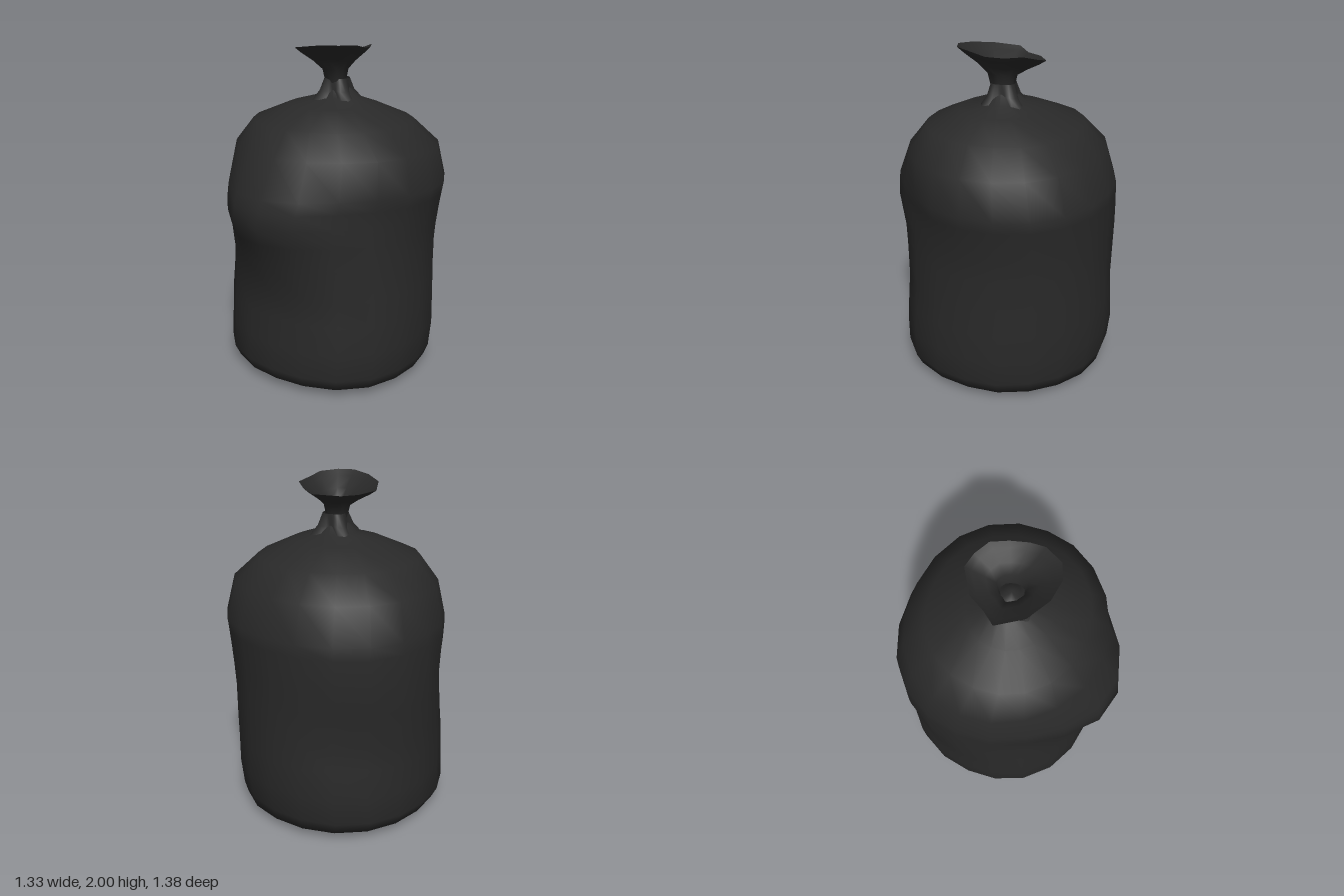
import * as THREE from 'three';

const SIDES = 20;

// Smooth skin over closed rings of points, listed bottom to top, with optional end points
function loft(rings, bottom, top) {
  const n = rings[0].length, index = [];
  const points = rings.flat();
  for (let i = 0; i < rings.length - 1; i++) {
    for (let j = 0; j < n; j++) {
      const a = i * n + j, b = i * n + (j + 1) % n;
      index.push(a, b, a + n, b, b + n, a + n);
    }
  }
  if (bottom) {
    const c = points.push(bottom) - 1;
    for (let j = 0; j < n; j++) index.push(c, (j + 1) % n, j);
  }
  if (top) {
    const c = points.push(top) - 1, s = (rings.length - 1) * n;
    for (let j = 0; j < n; j++) index.push(c, s + j, s + (j + 1) % n);
  }
  const geometry = new THREE.BufferGeometry().setFromPoints(points);
  geometry.setIndex(index);
  geometry.computeVertexNormals();
  return geometry;
}

// Ring of points; angle 0 faces the front, shape(angle) returns a point
function ring(count, shape) {
  return Array.from({ length: count }, (_, j) => shape(j / count * Math.PI * 2));
}

const bell = (d, width) => Math.exp(-((d / width) ** 2));
const angleGap = (a, b) => Math.atan2(Math.sin(a - b), Math.cos(a - b));

// Radius of a slightly squared unit circle
const fullness = (a) => (Math.abs(Math.sin(a)) ** 2.18 + Math.abs(Math.cos(a)) ** 2.18) ** (-1 / 2.18);

export function createModel() {
  const group = new THREE.Group();
  const plastic = new THREE.MeshStandardMaterial({ color: 0x292929 });
  plastic.name = 'black plastic';
  plastic.side = THREE.DoubleSide;

  const add = (name, geometry) => {
    const mesh = new THREE.Mesh(geometry, plastic);
    mesh.name = name;
    group.add(mesh);
  };

  // Filled bag: height, left/right limits, back/front limits, front bulge
  const rows = [
    [0.025, -0.38, 0.36, -0.42, 0.32, 0],
    [0.05, -0.62, 0.59, -0.65, 0.54, 0],
    [0.12, -0.655, 0.62, -0.67, 0.57, 0],
    [0.28, -0.655, 0.63, -0.69, 0.56, 0],
    [0.45, -0.655, 0.625, -0.685, 0.55, 0],
    [0.6, -0.655, 0.62, -0.68, 0.545, 0],
    [0.8, -0.665, 0.615, -0.675, 0.55, 0.05],
    [0.93, -0.665, 0.625, -0.675, 0.55, 0.1],
    [1.04, -0.665, 0.64, -0.675, 0.55, 0.15],
    [1.13, -0.66, 0.655, -0.675, 0.55, 0.135],
    [1.2, -0.655, 0.668, -0.675, 0.55, 0.115],
    [1.41, -0.605, 0.63, -0.61, 0.51, 0.04],
    [1.55, -0.47, 0.48, -0.48, 0.43, 0],
    [1.64, -0.25, 0.29, -0.26, 0.23, 0],
    [1.68, -0.1, 0.17, -0.14, 0.08, 0],
    [1.76, -0.015, 0.085, -0.07, 0.03, 0],
  ];
  // Soft swellings and dents: angle, height, amount, vertical reach
  const swellings = [
    [-0.85, 0.9, -0.055, 0.27], [-0.8, 1.35, -0.018, 0.2], [-2.35, 0.6, -0.04, 0.22],
    [0.8, 1.16, -0.042, 0.22], [0.8, 0.35, 0.03, 0.4], [2.36, 0.25, -0.03, 0.4],
  ];
  const body = rows.map(([y, x0, x1, z0, z1, bulge]) => ring(SIDES, (a) => {
    let push = 0;
    for (const [sa, sy, amount, reach] of swellings) push += amount * bell(angleGap(a, sa), 0.42) * bell(y - sy, reach);
    const r = fullness(a);
    return new THREE.Vector3(
      (x0 + x1) / 2 + Math.sin(a) * (r * (x1 - x0) / 2 + push), y,
      (z0 + z1) / 2 + Math.cos(a) * (r * (z1 - z0) / 2 + push) + bulge * bell(angleGap(a, -0.1), 0.68));
  }));
  add('bagBody', loft(body, new THREE.Vector3(0, 0, -0.05), new THREE.Vector3(0.035, 1.77, -0.02)));

  // Four pointed folds gathered below the knot
  const folds = [[1.67, 0.125, 0.04], [1.72, 0.095, 0.018], [1.79, 0.074, 0.003]];
  add('gatheredFolds', loft(folds.map(([y, r, wave]) => ring(24, (a) => {
    const w = Math.cos(4 * (a + 0.52));
    return new THREE.Vector3(0.035 + Math.sin(a) * (r + wave * w), y - wave * w * 0.2, -0.025 + Math.cos(a) * (r + wave * w));
  }))));

  // Open mouth flaring above the knot, with an uneven rim
  const rim = [[-0.02, 0.215], [0.1, 0.23], [0.19, 0.19], [0.24, 0.08], [0.24, -0.01], [0.21, -0.11],
    [0.16, -0.2], [0.08, -0.25], [0, -0.27], [-0.13, -0.18], [-0.18, -0.08], [-0.24, 0], [-0.15, 0.14]];
  const rimHeight = [1.985, 2, 2, 1.995, 1.975, 1.97, 1.975, 1.95, 1.93, 1.92, 1.92, 1.94, 1.965];
  // Height, spread towards the rim, share of the rim's unevenness
  const steps = [[1.765, 0.27, 0], [1.84, 0.34, 0.1], [1.89, 0.56, 0.5], [1.94, 0.85, 0.85], [1.97, 1, 1]];
  const mouth = steps.map(([y, spread, tilt]) => rim.map(([x, z], j) => new THREE.Vector3(
    THREE.MathUtils.lerp(0.035, x, spread),
    y + (rimHeight[j] - 1.97) * tilt,
    THREE.MathUtils.lerp(-0.02, z, spread))));
  add('bagMouth', loft(mouth));

  return group;
}
